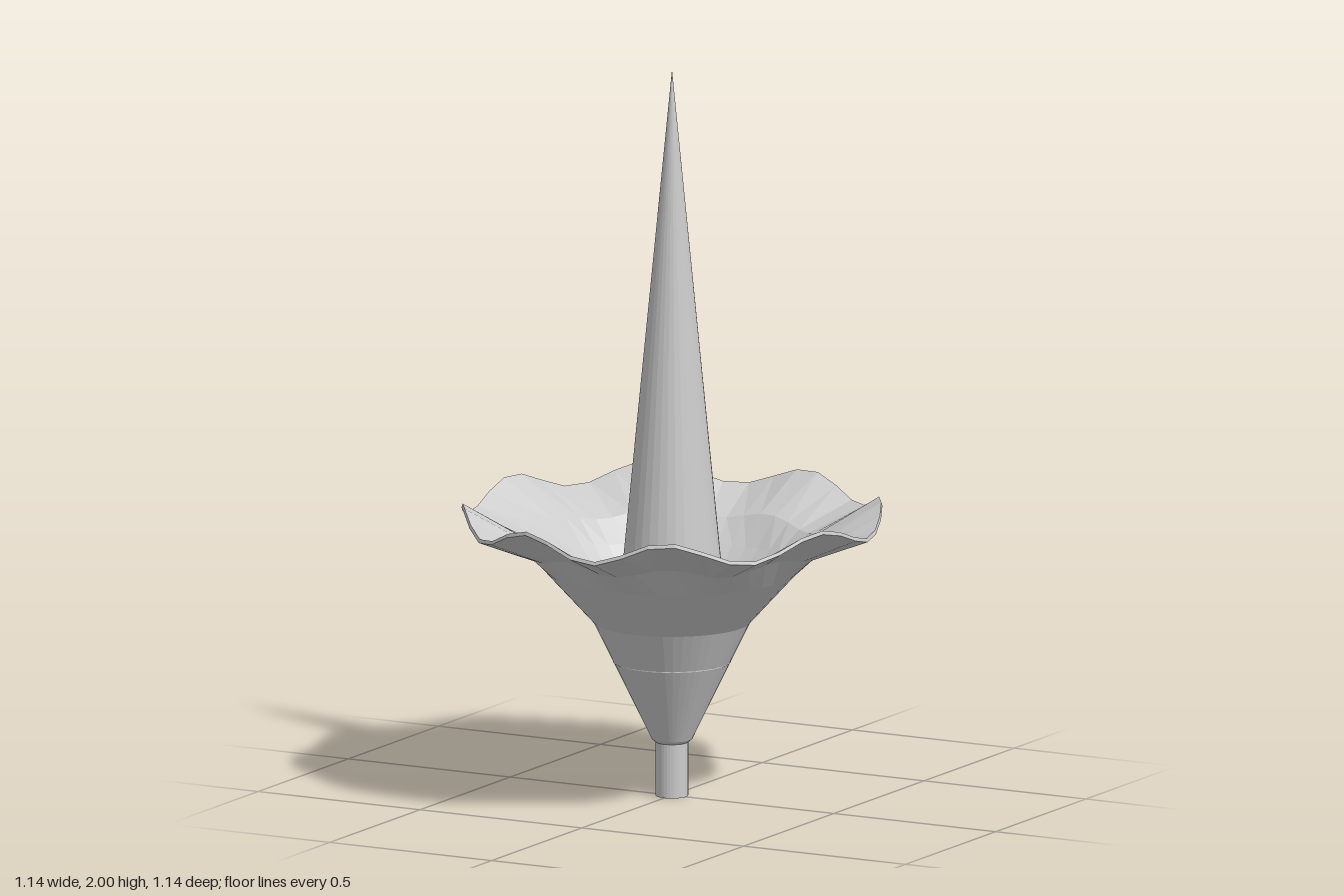
import * as THREE from 'three';

export function createModel() {
  const group = new THREE.Group();
  const material = new THREE.MeshStandardMaterial({ color: 0xcccccc, flatShading: true });

  const add = (name, geometry, y = 0) => {
    const mesh = new THREE.Mesh(geometry, material);
    mesh.name = name;
    mesh.position.y = y;
    group.add(mesh);
  };

  // Short stem
  add('stem', new THREE.CylinderGeometry(0.044, 0.044, 0.16, 32), 0.08);

  // Tall pointed spike, its base seated inside the funnel
  add('spike', new THREE.ConeGeometry(0.16, 1.63, 32), 1.185);

  // Thin-walled funnel: up the outside, over the rim, down the inside
  const profile = [
    [0, 0.148], [0.044, 0.148], [0.055, 0.157], [0.212, 0.48], [0.34, 0.62], [0.405, 0.69], [0.568, 0.77],
    [0.565, 0.78], [0.4, 0.7], [0.333, 0.63], [0.203, 0.49], [0.135, 0.35],
  ].map(([r, y]) => new THREE.Vector2(r, y));
  const petal = new THREE.LatheGeometry(profile, 48);

  // Ruffle: crest directions in degrees from +x toward +z, slightly uneven
  const crests = [16, 63, 105, 146, 191, 235, 282, 326, 376];
  const wave = (x, z) => {
    let a = THREE.MathUtils.radToDeg(Math.atan2(z, x));
    while (a < 16) a += 360;
    const i = Math.max(0, crests.findIndex((c) => c > a) - 1);
    const t = (a - crests[i]) / (crests[i + 1] - crests[i]);
    return Math.cos(t * Math.PI * 2);
  };
  const p = petal.attributes.position;
  for (let i = 0; i < p.count; i++) {
    const x = p.getX(i), z = p.getZ(i);
    const strength = 0.03 * THREE.MathUtils.clamp((Math.hypot(x, z) - 0.34) / 0.15, 0, 1);
    if (strength > 0) p.setY(i, p.getY(i) + strength * wave(x, z));
  }
  petal.computeVertexNormals();
  add('ruffledPetal', petal);

  return group;
}
